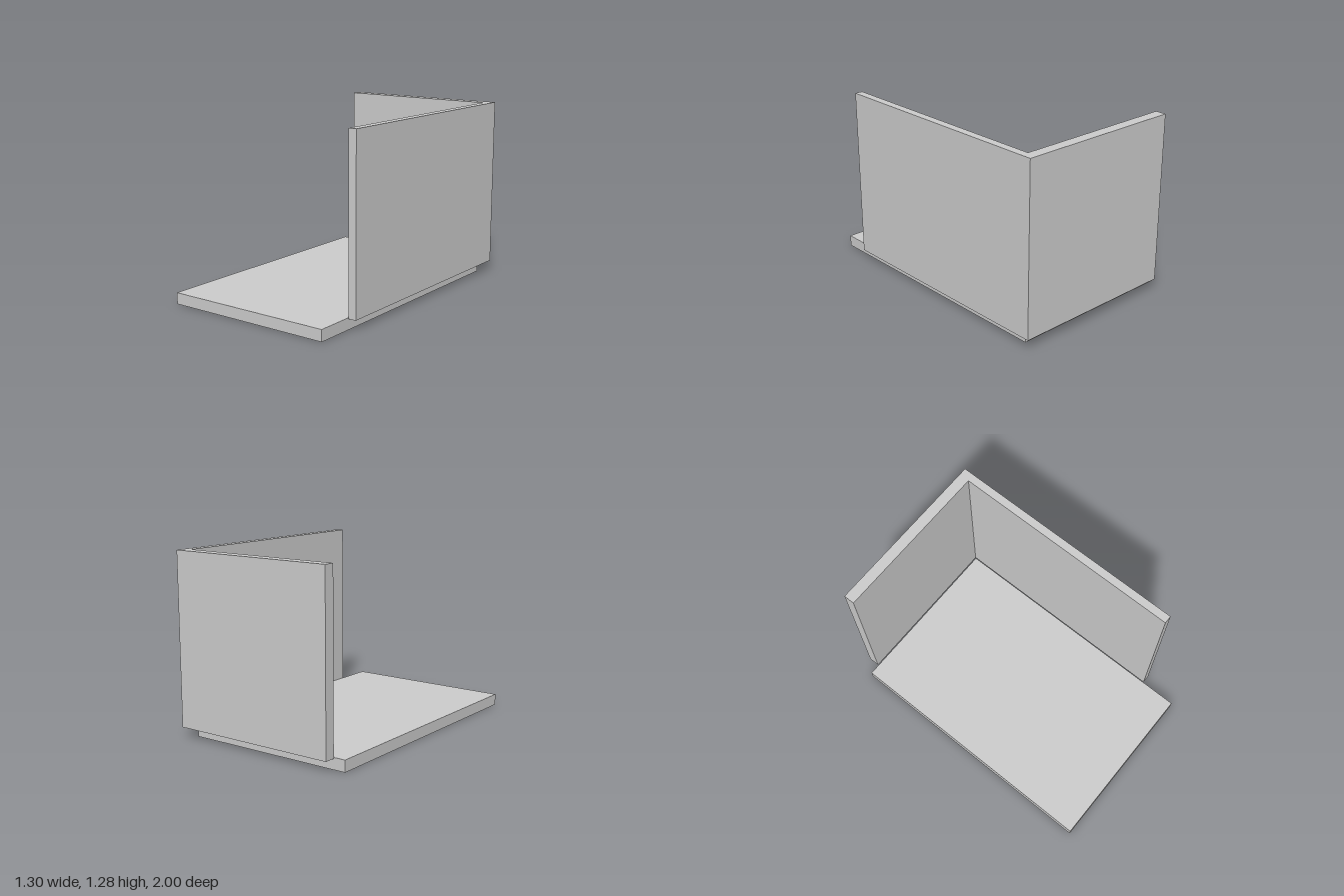
import * as THREE from 'three';

export function createModel() {
  const group = new THREE.Group();
  const material = new THREE.MeshStandardMaterial({ color: 0xcccccc, flatShading: true });

  // Floor slab
  const floor = new THREE.Mesh(new THREE.BoxGeometry(1.238, 0.08, 1.915), material);
  floor.name = 'floor';
  floor.position.set(-0.031, 0.04, 0.0425);
  group.add(floor);

  // L-shaped wall: plan outline as (x, -z), extruded upwards
  const plan = new THREE.Shape([
    [-0.57, 1], [-0.57, 0.922], [0.593, 0.922],
    [0.593, -0.735], [0.65, -0.735], [0.65, 1],
  ].map(([x, y]) => new THREE.Vector2(x, y)));
  const wallGeometry = new THREE.ExtrudeGeometry(plan, { depth: 1.2, bevelEnabled: false });
  wallGeometry.rotateX(-Math.PI / 2);
  const walls = new THREE.Mesh(wallGeometry, material);
  walls.name = 'cornerWalls';
  walls.position.y = 0.075;
  group.add(walls);

  return group;
}
